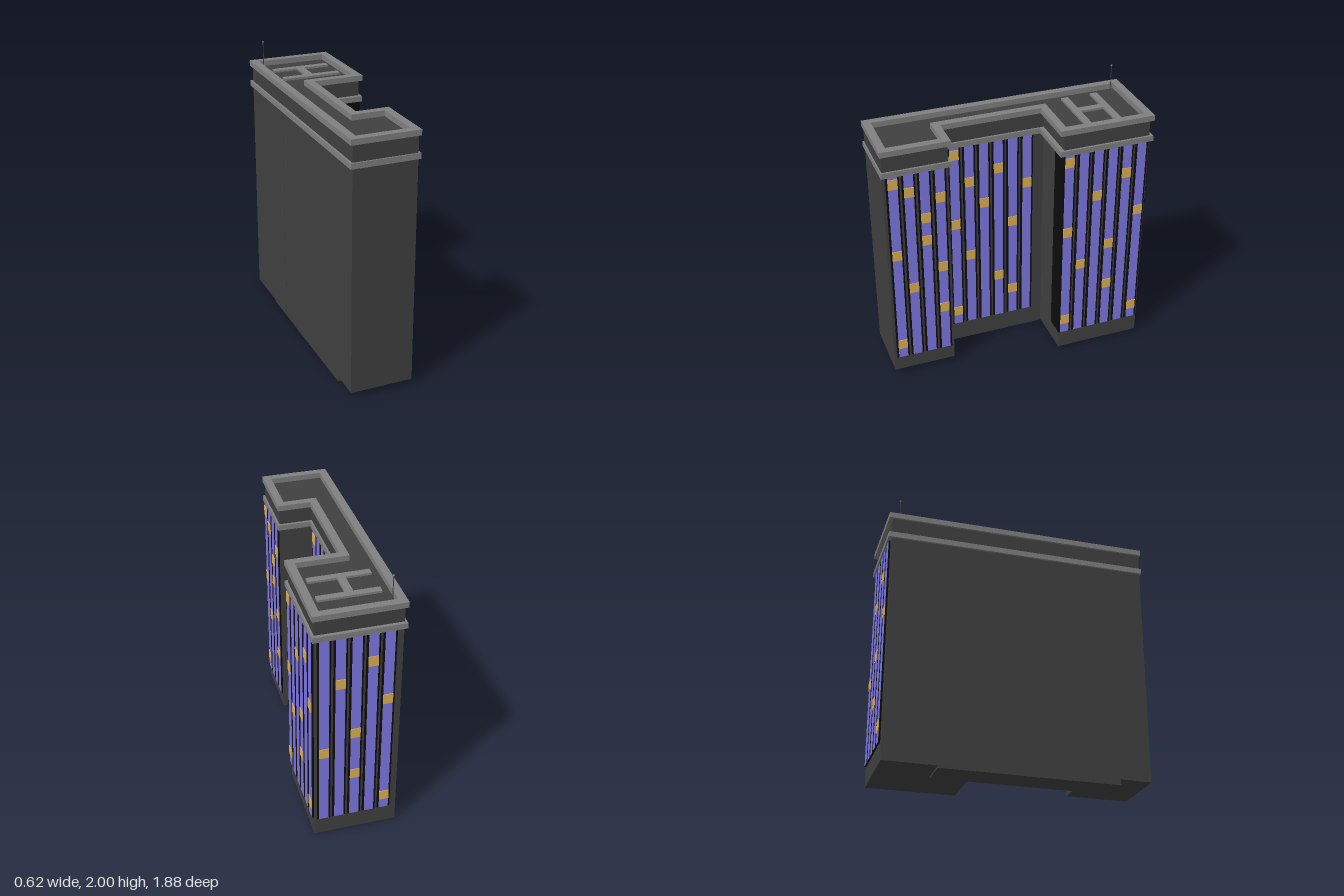
import * as THREE from 'three';

const mat = (color) => new THREE.MeshStandardMaterial({ color });
const wallMat = mat(0x404040);
const trimMat = mat(0x808080);
const frameMat = mat(0x0c0c0c);
const glassMat = mat(0x7f78e4);
const litMat = mat(0xdeb255);

function addMesh(parent, name, geometry, material, x = 0, y = 0, z = 0) {
  const mesh = new THREE.Mesh(geometry, material);
  mesh.name = name;
  mesh.position.set(x, y, z);
  parent.add(mesh);
  return mesh;
}

// Box given by its minimum and maximum corners
function addBlock(parent, name, material, [x0, y0, z0], [x1, y1, z1]) {
  return addMesh(parent, name, new THREE.BoxGeometry(x1 - x0, y1 - y0, z1 - z0), material,
    (x0 + x1) / 2, (y0 + y1) / 2, (z0 + z1) / 2);
}

// C-shaped plan of the ledges, moved inwards by d
function plan(d, Type) {
  const points = [
    [-0.31 + d, 0.94 - d], [0.17 - d, 0.94 - d], [0.17 - d, 0.46 + d], [-0.065 - d, 0.46 + d],
    [-0.065 - d, -0.26 - d], [0.305 - d, -0.26 - d], [0.305 - d, -0.945 + d], [-0.31 + d, -0.945 + d],
  ];
  return new Type(points.map(([x, z]) => new THREE.Vector2(x, -z)));
}

function addLedge(parent, name, y, height, ringWidth) {
  const shape = plan(0, THREE.Shape);
  if (ringWidth) shape.holes.push(plan(ringWidth, THREE.Path));
  const geometry = new THREE.ExtrudeGeometry(shape, { depth: height, bevelEnabled: false });
  geometry.rotateX(-Math.PI / 2);
  addMesh(parent, name, geometry, trimMat, 0, y, 0);
}

// Row of window strips facing local +z, running along local +x;
// each entry of litRows lists the heights of the lit windows in one strip
const PITCH = 0.107, BOTTOM = 0.155, TOP = 1.645;
function addFacade(parent, name, litRows, x, z, angle) {
  const facade = new THREE.Group();
  facade.name = name;
  facade.position.set(x, 0, z);
  facade.rotation.y = angle;
  parent.add(facade);
  const height = TOP - BOTTOM, mid = (TOP + BOTTOM) / 2;
  const frame = new THREE.BoxGeometry(0.09, height, 0.15);
  const glass = new THREE.BoxGeometry(0.066, height - 0.002, 0.02);
  const lit = new THREE.BoxGeometry(0.067, 0.075, 0.02);
  litRows.forEach((heights, i) => {
    const along = i * PITCH;
    addMesh(facade, 'windowFrame', frame, frameMat, along, mid, -0.075);
    addMesh(facade, 'glassStrip', glass, glassMat, along, mid, -0.008);
    for (const y of heights) addMesh(facade, 'litWindow', lit, litMat, along, y, -0.004);
  });
}

export function createModel() {
  const building = new THREE.Group();
  building.name = 'building';

  // Three wall blocks standing on slightly different levels
  addBlock(building, 'frontBlock', wallMat, [-0.295, 0.04, 0.48], [0.155, 1.8, 0.93]);
  addBlock(building, 'middleBlock', wallMat, [-0.294, 0, -0.55], [-0.08, 1.799, 0.71]);
  addBlock(building, 'backBlock', wallMat, [-0.295, 0.015, -0.92], [0.288, 1.8, -0.29]);

  // Ledges, with the top one forming a parapet around the roof
  addLedge(building, 'lowerLedge', 1.645, 0.04, 0);
  addLedge(building, 'parapet', 1.8, 0.04, 0.055);

  // Window facades on the left side and the back
  const edge = [1.59, 1.03, 0.27];
  const tower = [[0.74], [1.29], [0.87, 0.52], [1.43], [1.11, 0.27]];
  const side = Math.PI / 2;
  addFacade(building, 'frontBlockWindows', [edge, [1.51, 0.74], [1.29, 1.11], [1.43, 0.87, 0.52]],
    0.166, 0.865, side);
  addFacade(building, 'middleBlockWindows',
    [edge, [1.36, 0.75], [1.17], [1.43, 0.52], [0.97, 0.375], [1.27]], -0.069, 0.371, side);
  addFacade(building, 'backBlockWindows', [edge, ...tower], 0.3, -0.329, side);
  addFacade(building, 'rearWindows', tower, 0.225, -0.932, Math.PI);

  // Landing pad marking: two bars joined by a stem
  const pad = new THREE.Group();
  pad.name = 'landingPad';
  building.add(pad);
  for (const z of [-0.715, -0.495]) {
    addBlock(pad, 'padBar', trimMat, [-0.205, 1.795, z - 0.026], [0.218, 1.815, z + 0.026]);
  }
  addBlock(pad, 'padStem', trimMat, [-0.03, 1.795, -0.689], [0.025, 1.815, -0.521]);

  // Roof antenna with a ball tip
  addMesh(building, 'antennaMast', new THREE.CylinderGeometry(0.003, 0.003, 0.195, 8), wallMat,
    -0.23, 1.895, -0.86);
  addMesh(building, 'antennaTip', new THREE.SphereGeometry(0.007, 12, 8), trimMat,
    -0.23, 1.993, -0.86);

  return building;
}
